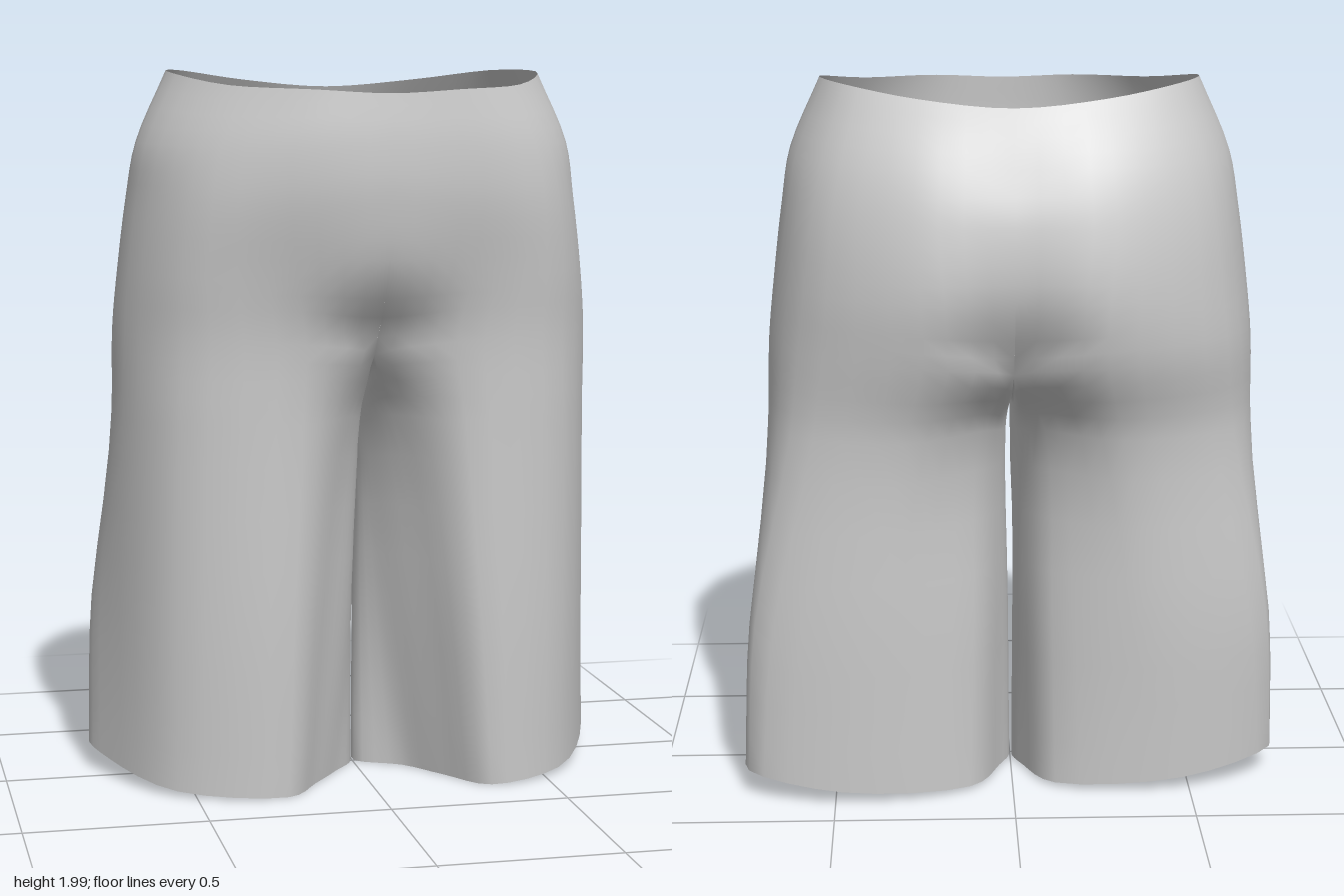
import * as THREE from 'three';
import { mergeVertices } from 'three/addons/utils/BufferGeometryUtils.js';

const STEP = 4;   // subdivisions between control points
const SPLIT = 4;  // control level where the torso divides into legs

// Outer control outlines [x, z] from centre front, round the side, to centre back
const OUTER = [
  [[0, .49], [.2, .455], [.4, .3], [.525, .03], [.45, -.2], [.25, -.32], [0, -.36]],
  [[0, .5], [.25, .46], [.48, .31], [.61, .02], [.51, -.28], [.26, -.42], [0, -.425]],
  [[0, .495], [.26, .455], [.51, .32], [.635, 0], [.54, -.31], [.27, -.467], [0, -.475]],
  [[0, .45], [.24, .42], [.53, .31], [.66, 0], [.565, -.32], [.25, -.495], [0, -.475]],
  [[0, .29], [.21, .38], [.53, .3], [.675, 0], [.585, -.31], [.25, -.465], [0, -.36]],
  [[.07, .21], [.24, .36], [.54, .29], [.68, -.02], [.61, -.3], [.3, -.4], [.09, -.26]],
  [[.16, .21], [.29, .35], [.55, .27], [.705, -.06], [.72, -.3], [.41, -.395], [.11, -.28]],
  [[.22, .2], [.33, .33], [.55, .25], [.71, -.05], [.745, -.3], [.48, -.385], [.12, -.29]],
];
const LEVEL_Y = [2, 1.8, 1.65, 1.45, 1.28, 1.05, .5, 0];
const WAIST_Y = [1.94, 1.95, 1.96, 1.995, 1.997, 1.97, 1.95];
const SPLIT_Y = [1.23, 1.27, 1.28, 1.28, 1.28, 1.27, 1.23];
const HEM_Y = [.01, .01, .025, .06, .08, .045, .02];

// Inner leg columns [x, y, z], from the crotch seam down to the hem
const INNER = [
  [[0, 1.14, -.2], [.025, 1.02, -.12], [.03, .5, -.12], [.035, .015, -.12]],
  [[0, 1.11, 0], [.012, 1, 0], [.008, .5, 0], [.005, .01, 0]],
  [[0, 1.15, .15], [.02, 1.02, .09], [.07, .5, .09], [.13, .01, .08]],
];
// Offsets [x, z] that the right leg reaches at its hem, in ring order
const RIGHT_SHIFT = [
  [-.07, .01], [-.08, 0], [0, .01], [0, .06], [0, .14], [0, .08], [0, .02],
  [0, 0], [0, 0], [-.06, .02],
];

const spline = (pts, closed = false) => new THREE.CatmullRomCurve3(pts, closed, 'centripetal');
const sample = pts => spline(pts).getPoints((pts.length - 1) * STEP);

// One half of the garment; side is 1 for left and -1 for right
function addHalf(side, positions, index) {
  // Control point of a ring column, with amount running 0 at the crotch to 1 at the hem
  const control = (x, y, z, column, amount) => {
    const t = side < 0 ? Math.max(amount, 0) : 0;
    const [dx, dz] = RIGHT_SHIFT[column];
    return new THREE.Vector3(x + dx * t, y, z + dz * t);
  };
  const outer = OUTER[0].map((_, c) => sample(OUTER.map((ring, l) => {
    const y = l === 0 ? WAIST_Y[c] : l === SPLIT ? SPLIT_Y[c] : l === 7 ? HEM_Y[c] : LEVEL_Y[l];
    return control(ring[c][0], y, ring[c][1], c, (l - SPLIT) / 3);
  })));
  const inner = INNER.map((col, c) => sample(col.map((p, l) => control(...p, 7 + c, l / 3))));
  const splitRow = SPLIT * STEP, lastRow = 7 * STEP;
  const arc = 6 * STEP, loop = 10 * STEP;
  const rows = [];

  for (let r = 0; r <= lastRow; r++) {
    const pts = outer.map(col => col[r]);
    const isLeg = r >= splitRow;
    let curve;
    if (isLeg) {
      curve = spline([...pts, ...inner.map(col => col[r - splitRow])], true);
    } else {
      // Mirrored neighbours keep the centre seam smooth
      const flip = p => new THREE.Vector3(-p.x, p.y, p.z);
      curve = spline([flip(pts[1]), ...pts, flip(pts[5])]);
    }
    rows.push([]);
    for (let k = 0; k <= (isLeg ? loop - 1 : arc); k++) {
      const p = curve.getPoint(isLeg ? k / loop : (k + STEP) / (8 * STEP));
      const onSeam = isLeg ? r === splitRow && (k >= arc || k === 0) : k === 0 || k === arc;
      rows[r].push(positions.length / 3);
      positions.push(onSeam ? 0 : side * Math.max(p.x, .003), p.y, p.z);
    }
  }

  for (let r = 0; r < lastRow; r++) {
    const count = r < splitRow ? arc : loop;
    for (let k = 0; k < count; k++) {
      const n = r < splitRow ? k + 1 : (k + 1) % loop;
      const a = rows[r][k], b = rows[r + 1][k], c = rows[r + 1][n], d = rows[r][n];
      if (side > 0) index.push(a, b, c, a, c, d);
      else index.push(a, c, b, a, d, c);
    }
  }
}

export function createModel() {
  const positions = [], index = [];
  for (const side of [1, -1]) addHalf(side, positions, index);

  // Weld the halves along the centre seam for continuous shading
  let geometry = new THREE.BufferGeometry();
  geometry.setAttribute('position', new THREE.Float32BufferAttribute(positions, 3));
  geometry.setIndex(index);
  geometry = mergeVertices(geometry, 1e-4);
  geometry.computeVertexNormals();

  const cloth = new THREE.MeshStandardMaterial({ color: 0xcccccc, side: THREE.DoubleSide });
  const shorts = new THREE.Mesh(geometry, cloth);
  shorts.name = 'shorts';
  const group = new THREE.Group();
  group.name = 'shortsModel';
  group.add(shorts);
  return group;
}
